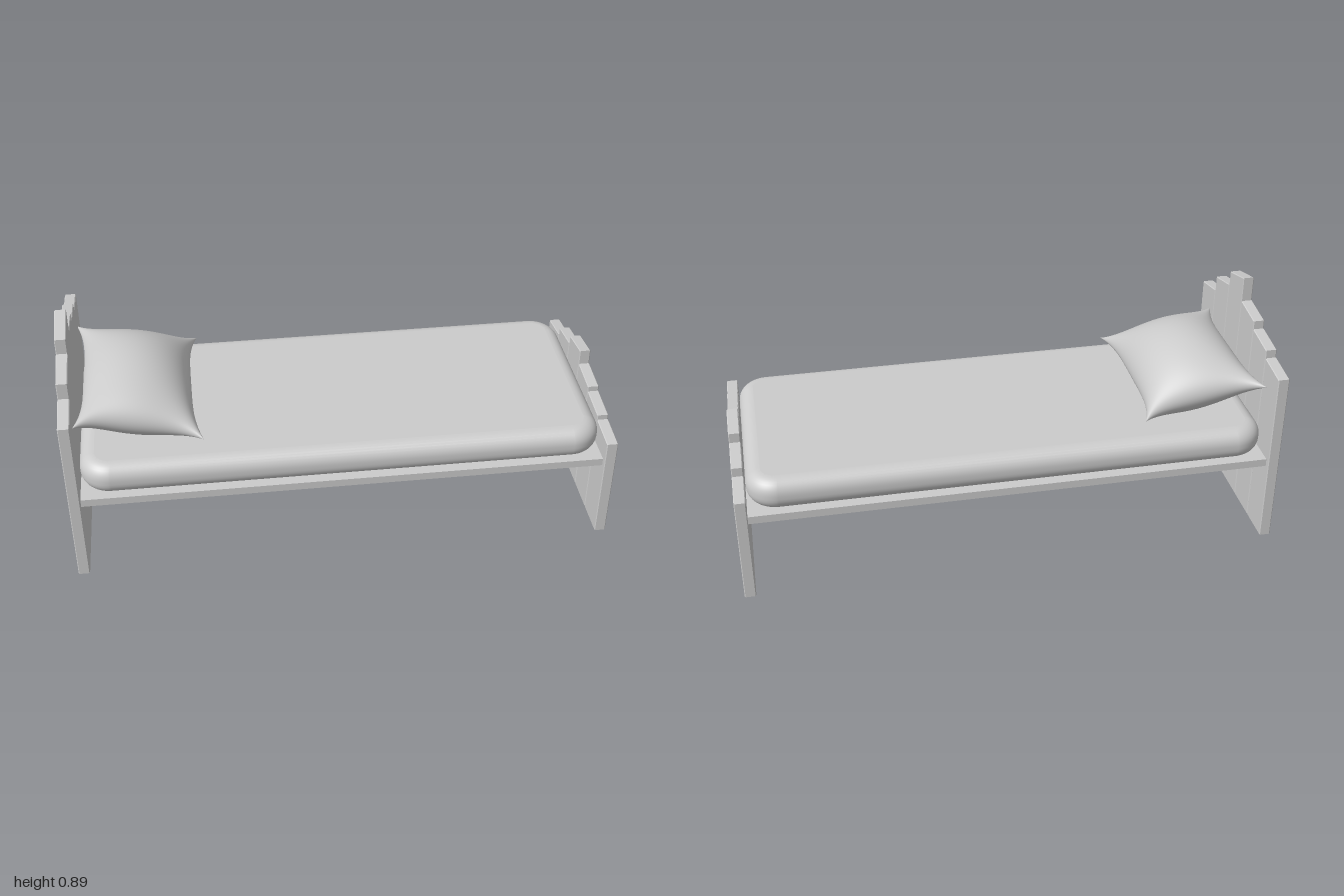
import * as THREE from 'three';
import { mergeGeometries, mergeVertices } from 'three/addons/utils/BufferGeometryUtils.js';

const material = new THREE.MeshStandardMaterial({ color: 0xcccccc });

function addMesh(parent, name, geometry) {
  const mesh = new THREE.Mesh(geometry, material);
  mesh.name = name;
  parent.add(mesh);
  return mesh;
}

// Weld shared corners so the shading runs smoothly across them
function smooth(geometry) {
  geometry.deleteAttribute('normal');
  geometry.deleteAttribute('uv');
  const welded = mergeVertices(geometry, 1e-5);
  welded.computeVertexNormals();
  return welded;
}

// Upright plank with a slanted top and lightly chamfered edges
function plankGeometry(width, yFront, yBack, thickness) {
  const bevel = 0.003;
  const shape = new THREE.Shape([
    new THREE.Vector2(-width / 2, 0),
    new THREE.Vector2(width / 2, 0),
    new THREE.Vector2(width / 2, yBack),
    new THREE.Vector2(-width / 2, yFront),
  ]);
  const geometry = new THREE.ExtrudeGeometry(shape, {
    depth: thickness - 2 * bevel, bevelThickness: bevel, bevelSize: bevel,
    bevelOffset: -bevel, bevelSegments: 1,
  });
  geometry.translate(0, 0, bevel - thickness / 2);
  return geometry.rotateY(Math.PI / 2);
}

// Row of six planks; tops lists [front height, back height] from +z to -z
function plankBoard(name, x, tops) {
  const board = new THREE.Group();
  board.name = name;
  tops.forEach(([yFront, yBack], i) => {
    const plank = addMesh(board, 'plank', plankGeometry(0.137, yFront, yBack, 0.042));
    plank.position.set(x, 0, 0.3525 - i * 0.141);
  });
  return board;
}

// Rounded slab with soft edges all round
function mattressGeometry(length, width, height) {
  const x = length / 2, y = width / 2, r = 0.11, soft = 0.055;
  const shape = new THREE.Shape();
  shape.moveTo(-x + r, -y);
  shape.lineTo(x - r, -y);
  shape.absarc(x - r, -y + r, r, -Math.PI / 2, 0);
  shape.lineTo(x, y - r);
  shape.absarc(x - r, y - r, r, 0, Math.PI / 2);
  shape.lineTo(-x + r, y);
  shape.absarc(-x + r, y - r, r, Math.PI / 2, Math.PI);
  shape.lineTo(-x, -y + r);
  shape.absarc(-x + r, -y + r, r, Math.PI, Math.PI * 1.5);
  const geometry = new THREE.ExtrudeGeometry(shape, {
    depth: height - 2 * soft, bevelThickness: soft, bevelSize: soft,
    bevelOffset: -soft, bevelSegments: 8, curveSegments: 12,
  });
  geometry.translate(0, 0, soft).rotateX(-Math.PI / 2);
  return smooth(geometry);
}

// Half of a cushion: a square grid puffed up, with pulled-in sides and pointed corners
function pillowHalf(side) {
  const geometry = new THREE.PlaneGeometry(2, 2, 40, 48);
  geometry.rotateX(-side * Math.PI / 2);
  const p = geometry.attributes.position;
  for (let i = 0; i < p.count; i++) {
    // Sine spacing packs the grid towards the seam
    const u = Math.sin(p.getX(i) * Math.PI / 2);
    const v = Math.sin(p.getZ(i) * Math.PI / 2);
    const fu = Math.max(0, 1 - u * u), fv = Math.max(0, 1 - v * v);
    const puff = Math.pow(fu, 0.6) * Math.pow(fv, 0.5);
    p.setXYZ(i,
      0.234 * u * (1 - 0.15 * (1 - v ** 4)),
      side * 0.13 * puff,
      0.325 * v * (1 - 0.14 * (1 - u ** 4)));
  }
  return geometry;
}

// Pillow leaning on the headboard and resting on the mattress
function pillowGeometry() {
  const geometry = mergeGeometries([pillowHalf(1), pillowHalf(-1)]);
  geometry.rotateZ(-0.2).translate(-0.732, 0.557, 0);
  const p = geometry.attributes.position;
  for (let i = 0; i < p.count; i++) {
    p.setX(i, Math.max(p.getX(i), -0.957));
    p.setY(i, Math.max(p.getY(i), 0.457));
  }
  return smooth(geometry);
}

export function createModel() {
  const bed = new THREE.Group();
  bed.name = 'bed';

  bed.add(plankBoard('headboard', -0.979, [
    [0.676, 0.705], [0.765, 0.798], [0.855, 0.892],
    [0.798, 0.782], [0.751, 0.735], [0.705, 0.690],
  ]));
  bed.add(plankBoard('footboard', 0.979, [
    [0.420, 0.431], [0.448, 0.459], [0.477, 0.488],
    [0.545, 0.523], [0.488, 0.467], [0.435, 0.413],
  ]));

  // Flat panel under the mattress
  const base = addMesh(bed, 'base', new THREE.BoxGeometry(1.92, 0.03, 0.8));
  base.position.y = 0.322;

  const mattress = addMesh(bed, 'mattress', mattressGeometry(1.91, 0.79, 0.123));
  mattress.position.y = 0.337;

  addMesh(bed, 'pillow', pillowGeometry());
  return bed;
}
